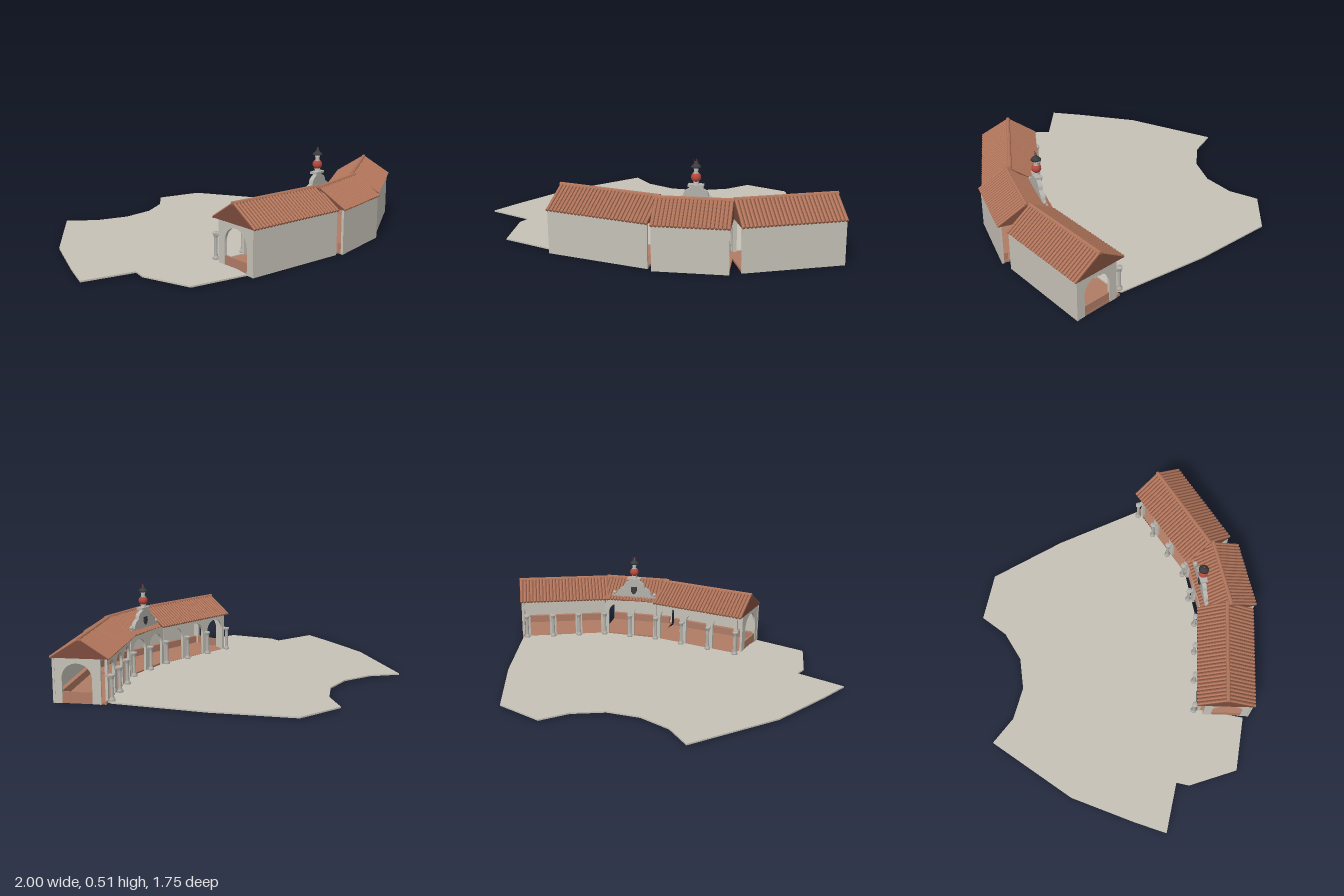
import * as THREE from 'three';
import { mergeGeometries } from 'three/addons/utils/BufferGeometryUtils.js';

const mat = (name, color, flat = false) => {
  const m = new THREE.MeshStandardMaterial({ color, flatShading: flat });
  m.name = name;
  return m;
};

export function createModel() {
  const model = new THREE.Group();
  model.name = 'arcadedCourtyard';
  const paving = mat('paving', 0xc6c2b7);
  const plaster = mat('plaster', 0xc6c2b8);
  const stone = mat('stone', 0xb4b2ac);
  const tile = mat('roofTile', 0xb0745a, true);
  const timber = mat('roofBase', 0x7c4c3c);
  const terracotta = mat('terracottaFloor', 0xb07c66);
  const red = mat('redBall', 0xb8483c);
  const iron = mat('darkIron', 0x3c3b3d);

  const add = (parent, name, geo, material, x = 0, y = 0, z = 0) => {
    const m = new THREE.Mesh(geo, material);
    m.name = name;
    m.position.set(x, y, z);
    parent.add(m);
    return m;
  };
  const box = (w, h, d) => new THREE.BoxGeometry(w, h, d);
  const lathe = (pts, n = 12) =>
    new THREE.LatheGeometry(pts.map(([r, y]) => new THREE.Vector2(r, y)), n);

  const EAVE = 0.235, RISE = 0.098;

  // Column line of the arcade, west to east
  const line = [[-0.272, 0.525], [0.205, 0.325], [0.468, 0.136], [0.718, -0.267]];

  // Courtyard paving
  const outline = [[-0.91, -0.42], [-0.74, -0.38], [-0.56, -0.41], [-0.41, -0.505],
    [-0.31, -0.655], [-0.275, -0.82], [-0.013, -0.88], [0.35, -0.62], [0.735, -0.285],
    [0.735, -0.262], [0.485, 0.146], [0.215, 0.342], [-0.26, 0.54], [-0.195, 0.795],
    [-0.485, 0.875], [-0.67, 0.67], [-0.685, 0.6], [-0.955, 0.66], [-0.975, 0.48], [-1, 0.11]];
  const yard = new THREE.Shape(outline.map(([x, z]) => new THREE.Vector2(x, -z)));
  add(model, 'courtyardPaving', new THREE.ExtrudeGeometry(yard, { depth: 0.008, bevelEnabled: false })
    .rotateX(-Math.PI / 2), paving, 0, 0.006, 0);

  // Wall panel pierced by one round arch, from point a to point b
  const archBay = (parent, name, a, b, pier, spring, thick) => {
    const dx = b[0] - a[0], dz = b[1] - a[1], w = Math.hypot(dx, dz);
    const r = w / 2 - pier;
    const s = new THREE.Shape();
    s.moveTo(0, 0);
    s.lineTo(pier, 0);
    s.lineTo(pier, spring);
    s.absarc(w / 2, spring, r, Math.PI, 0, true);
    s.lineTo(w - pier, 0);
    s.lineTo(w, 0);
    s.lineTo(w, EAVE);
    s.lineTo(0, EAVE);
    s.closePath();
    const g = new THREE.ExtrudeGeometry(s, { depth: thick, bevelEnabled: false, curveSegments: 10 })
      .translate(0, 0, -thick / 2);
    const m = add(parent, name, g, plaster, a[0], 0, a[1]);
    m.rotation.y = Math.atan2(-dz, dx);
    return m;
  };

  // Wing: local x runs along it, z = 0 is the outer eave, courtyard towards -z
  const buildWing = (name, x, z, degrees, len, w, openEnd) => {
    const wing = new THREE.Group();
    wing.name = name;
    wing.position.set(x, 0, z);
    wing.rotation.y = THREE.MathUtils.degToRad(degrees);
    model.add(wing);

    add(wing, 'floor', box(len - 0.015, 0.012, w - 0.03), terracotta, 0, 0.007, -w / 2 + 0.005);
    add(wing, 'backWall', box(len - 0.01, EAVE, 0.012), plaster, 0, EAVE / 2, -0.015);
    add(wing, 'wallBench', box(len - 0.03, 0.045, 0.025), terracotta, 0, 0.032, -0.033);

    // Solid gabled roof body
    const tri = new THREE.Shape([[0, 0], [w, 0], [w / 2, RISE]].map(([u, v]) => new THREE.Vector2(u, v)));
    add(wing, 'roofBody', new THREE.ExtrudeGeometry(tri, { depth: len, bevelEnabled: false })
      .rotateY(Math.PI / 2), timber, -len / 2, EAVE, 0);

    // Rows of round tiles down both slopes
    const slope = Math.hypot(w / 2, RISE), phi = Math.acos(-RISE / slope);
    const rows = Math.round(len / 0.02), step = len / rows, parts = [];
    for (let i = 0; i < rows; i++) {
      for (const side of [1, -1]) {
        parts.push(new THREE.CylinderGeometry(0.0082, 0.0082, slope, 6)
          .rotateX(side * phi)
          .translate(-len / 2 + step * (i + 0.5), EAVE + RISE / 2, -w / 2 + side * w / 4));
      }
    }
    parts.push(new THREE.CylinderGeometry(0.011, 0.011, len, 8).rotateZ(Math.PI / 2)
      .translate(0, EAVE + RISE, -w / 2));
    add(wing, 'roofTiles', mergeGeometries(parts), tile);

    // Open gable end with an arch and a low wall
    if (openEnd) {
      const ex = openEnd * (len / 2 - 0.014);
      archBay(wing, 'endArch', [ex, -0.012], [ex, -w + 0.045], 0.045, 0.13, 0.014);
      add(wing, 'endLowWall', box(0.01, 0.052, w - 0.13), terracotta, ex, 0.034, -w / 2 + 0.015);
    }
    return wing;
  };
  buildWing('westWing', 0.088, 0.7185, 23, 0.57, 0.312, -1);
  const middle = buildWing('middleWing', 0.532, 0.497, 37.7, 0.392, 0.31, 0);
  buildWing('eastWing', 0.8525, 0.0935, 57.8, 0.542, 0.303, 1);

  // Arcade: arched bays with a column before every pier
  const columnGeo = lathe([[0, 0], [0.017, 0], [0.017, 0.016], [0.012, 0.022], [0.0095, 0.03],
    [0.0085, 0.118], [0.011, 0.122], [0.01, 0.128], [0.016, 0.138], [0.016, 0.146], [0, 0.146]]);
  const bays = [3, 2, 3];
  bays.forEach((count, k) => {
    const [a, b] = [line[k], line[k + 1]];
    const dx = b[0] - a[0], dz = b[1] - a[1], l = Math.hypot(dx, dz);
    const n = [-dz / l, dx / l];
    const at = (t, off) => [a[0] + dx * t + n[0] * off, a[1] + dz * t + n[1] * off];
    for (let i = 0; i <= count; i++) {
      if (i < count) archBay(model, 'arcadeArch', at(i / count, 0.028), at((i + 1) / count, 0.028), 0.02, 0.147, 0.014);
      if (i === count && k < 2) continue;
      const [cx, cz] = at(i / count, 0);
      add(model, 'column', columnGeo, stone, cx, 0.006, cz);
      const [bx, bz] = at(i / count, 0.016);
      add(model, 'bracket', box(0.02, 0.012, 0.034), stone, bx, 0.146, bz).rotation.y = Math.atan2(-dz, dx);
    }
  });

  // Scrolled pediment over the middle arches
  const crown = new THREE.Group();
  crown.name = 'pediment';
  crown.position.set(-0.006, 0, -0.275);
  middle.add(crown);
  const p = new THREE.Shape();
  p.moveTo(-0.14, 0.23);
  p.lineTo(0.14, 0.23);
  p.lineTo(0.14, 0.262);
  p.lineTo(0.108, 0.266);
  p.quadraticCurveTo(0.1, 0.305, 0.066, 0.312);
  p.quadraticCurveTo(0.062, 0.34, 0.045, 0.345);
  p.quadraticCurveTo(0, 0.375, -0.045, 0.345);
  p.quadraticCurveTo(-0.062, 0.34, -0.066, 0.312);
  p.quadraticCurveTo(-0.1, 0.305, -0.108, 0.266);
  p.lineTo(-0.14, 0.262);
  p.closePath();
  add(crown, 'pedimentWall', new THREE.ExtrudeGeometry(p, { depth: 0.024, bevelEnabled: false, curveSegments: 6 }),
    stone, 0, 0, -0.012);
  for (const s of [-1, 1]) {
    add(crown, 'shoulderBall', new THREE.SphereGeometry(0.012, 10, 8), stone, s * 0.124, 0.272, 0);
  }
  const sh = new THREE.Shape();
  sh.moveTo(-0.018, 0.318);
  sh.lineTo(-0.018, 0.295);
  sh.quadraticCurveTo(-0.015, 0.28, 0, 0.272);
  sh.quadraticCurveTo(0.015, 0.28, 0.018, 0.295);
  sh.lineTo(0.018, 0.318);
  sh.closePath();
  add(crown, 'shield', new THREE.ExtrudeGeometry(sh, { depth: 0.005, bevelEnabled: false }), iron, 0, 0, -0.017);

  // Finial: plinth, red ball, neck, dark cap and crest
  add(crown, 'plinth', box(0.08, 0.012, 0.04), stone, 0, 0.367, 0);
  add(crown, 'plinthNeck', lathe([[0.022, 0.37], [0.012, 0.378], [0.016, 0.39], [0, 0.392]]), stone);
  add(crown, 'redBall', new THREE.SphereGeometry(0.026, 16, 12), red, 0, 0.41, 0);
  add(crown, 'upperNeck', lathe([[0.016, 0.43], [0.01, 0.437], [0.014, 0.463], [0, 0.465]]), stone);
  add(crown, 'cap', lathe([[0, 0.461], [0.028, 0.461], [0.024, 0.468], [0.012, 0.48], [0.006, 0.488], [0, 0.488]]), iron);
  for (const s of [-1, 0, 1]) {
    add(crown, 'crestPoint', new THREE.ConeGeometry(0.005, 0.026, 6), s ? iron : red, s * 0.009, 0.493, 0)
      .rotation.z = -s * 0.4;
  }
  return model;
}
